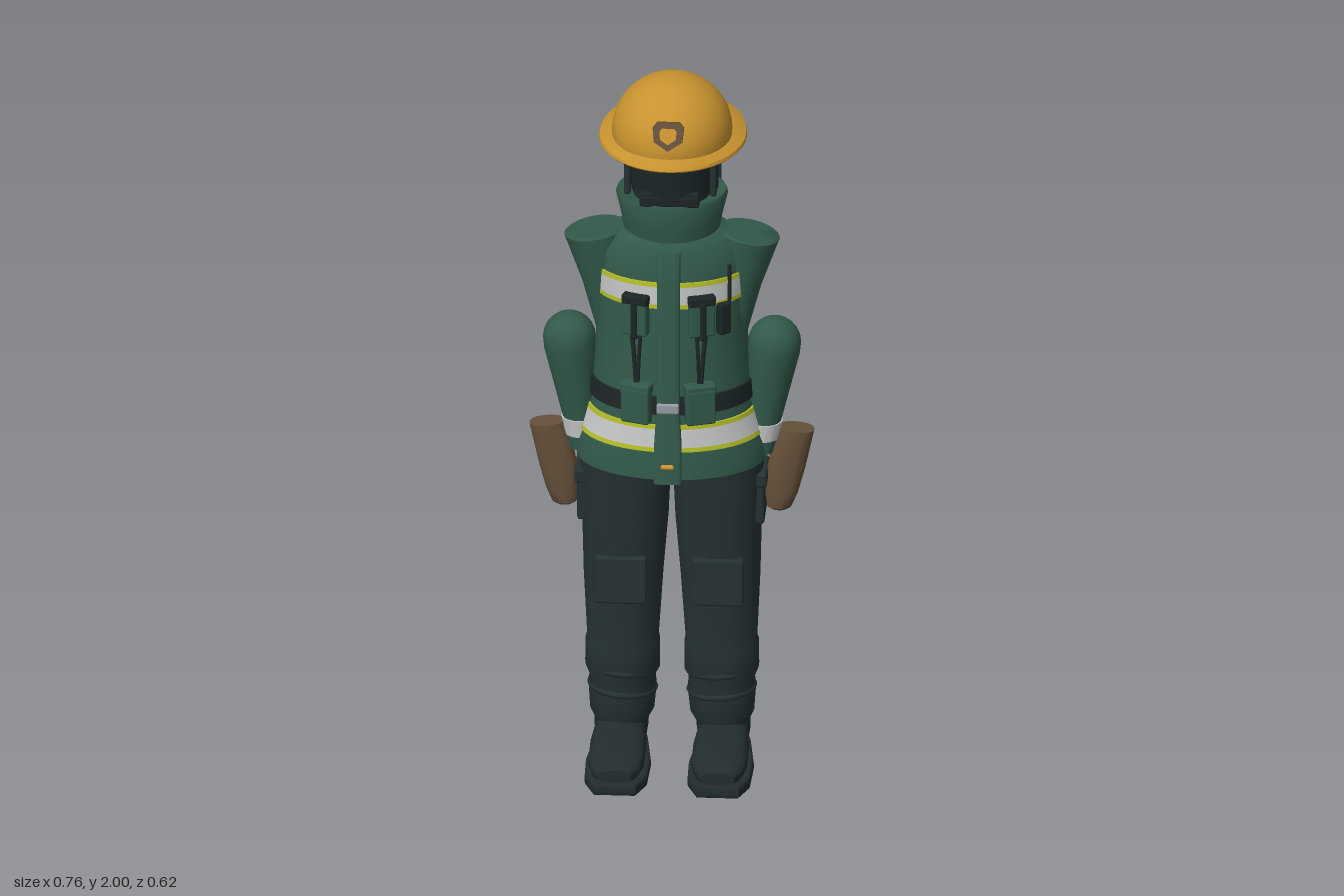
import * as THREE from 'three';
import { toCreasedNormals } from 'three/addons/utils/BufferGeometryUtils.js';
import { RoundedBoxGeometry } from 'three/addons/geometries/RoundedBoxGeometry.js';

const mat = (name, color) => {
  const m = new THREE.MeshStandardMaterial({ color });
  m.name = name;
  return m;
};

// Skin a stack of rings [y, cx, cz, rx, rz, tilt]; n is the roundness exponent (2 = ellipse).
function loft(rings, n = 2, seg = 36, crease = 0.7) {
  const pos = [], idx = [];
  const pw = (v) => Math.sign(v) * Math.abs(v) ** (2 / n);
  rings.forEach(([y, cx, cz, rx, rz, tilt = 0]) => {
    for (let i = 0; i < seg; i++) {
      const a = (i / seg) * Math.PI * 2, dx = rx * pw(Math.cos(a));
      pos.push(cx + dx, y + tilt * dx, cz + rz * pw(Math.sin(a)));
    }
  });
  for (let r = 0; r < rings.length - 1; r++)
    for (let i = 0; i < seg; i++) {
      const a = r * seg + i, b = r * seg + (i + 1) % seg;
      idx.push(a, a + seg, b, b, a + seg, b + seg);
    }
  [0, rings.length - 1].forEach((r, top) => {
    const c = pos.length / 3, o = r * seg;
    pos.push(rings[r][1], rings[r][0], rings[r][2]);
    for (let i = 0; i < seg; i++) {
      const a = o + i, b = o + (i + 1) % seg;
      if (top) idx.push(c, b, a); else idx.push(c, a, b);
    }
  });
  const g = new THREE.BufferGeometry();
  g.setAttribute('position', new THREE.Float32BufferAttribute(pos, 3));
  g.setIndex(idx);
  return toCreasedNormals(g, crease);
}

// Coat cross-sections and lookups on its surface
const COAT = [
  [0.9, 0, 0.047, 0.255, 0.18], [0.95, 0, 0.046, 0.252, 0.178], [1.0, 0, 0.044, 0.235, 0.172],
  [1.07, 0, 0.042, 0.216, 0.165], [1.18, 0, 0.038, 0.208, 0.16], [1.32, 0, 0.034, 0.2, 0.157],
  [1.45, 0, 0.032, 0.205, 0.152], [1.52, 0, 0.034, 0.2, 0.14], [1.56, 0, 0.038, 0.16, 0.125], [1.575, 0, 0.04, 0.13, 0.11],
];
function coatAt(y) {
  let i = 0;
  while (i < COAT.length - 2 && COAT[i + 1][0] < y) i++;
  const t = (y - COAT[i][0]) / (COAT[i + 1][0] - COAT[i][0]);
  return COAT[i].map((v, k) => v + (COAT[i + 1][k] - v) * t);
}
function coatBand(y0, y1, off) {
  const ys = [y0, ...COAT.map((r) => r[0]).filter((y) => y > y0 && y < y1), y1];
  return loft(ys.map(coatAt).map(([y, x, z, rx, rz]) => [y, x, z, rx + off, rz + off]), 2, 48);
}
function coatPoint(x, y, off = 0) {
  const [, , cz, rx, rz] = coatAt(y);
  const z = rz * Math.sqrt(1 - (x / rx) ** 2);
  return { p: new THREE.Vector3(x, y, cz + z + off), yaw: Math.atan2(x / rx ** 2, z / rz ** 2) };
}

export function createModel() {
  const root = new THREE.Group();
  root.name = 'firefighter';
  const M = {
    helmet: mat('helmetGold', 0xc8932f), coat: mat('coatGreen', 0x32594a), trousers: mat('trouserCharcoal', 0x253132),
    strap: mat('strapBlack', 0x1c2526), silver: mat('reflectiveSilver', 0xc4c6c6), lime: mat('reflectiveLime', 0xb4bd28),
    bottle: mat('bottleGrey', 0x969ca4), glove: mat('gloveBrown', 0x65503a), boot: mat('bootBlack', 0x222c2e),
  };
  const add = (name, geo, m) => {
    const o = new THREE.Mesh(geo, m);
    o.name = name;
    root.add(o);
    return o;
  };
  const box = (name, w, h, d, m, x, y, z, r = 0.006) => {
    const o = add(name, new RoundedBoxGeometry(w, h, d, 2, Math.min(r, d / 2.1)), m);
    o.position.set(x, y, z);
    return o;
  };
  const onCoat = (name, w, h, d, m, x, y, off = 0) => {
    const { p, yaw } = coatPoint(x, y, off);
    const o = box(name, w, h, d, m, p.x, p.y, p.z);
    o.rotation.y = yaw;
    return o;
  };
  const tube = (name, pts, r, m) =>
    add(name, new THREE.TubeGeometry(new THREE.CatmullRomCurve3(pts), 24, r, 8), m);
  const V = (x, y, z) => new THREE.Vector3(x, y, z);

  // Coat, reflective bands, belt and collar
  add('coat', loft(COAT, 2, 48), M.coat);
  for (const [name, y0, y1] of [['chest', 1.388, 1.462], ['hem', 0.98, 1.055]]) {
    add(name + 'Band', coatBand(y0 + 0.012, y1 - 0.012, 0.005), M.silver);
    add(name + 'BandLowerEdge', coatBand(y0, y0 + 0.012, 0.005), M.lime);
    add(name + 'BandUpperEdge', coatBand(y1 - 0.012, y1, 0.005), M.lime);
  }
  add('belt', coatBand(1.085, 1.135, 0.008), M.strap);
  add('collar', loft([[1.56, 0, 0.042, 0.128, 0.115], [1.6, 0, 0.042, 0.134, 0.12], [1.67, 0, 0.042, 0.15, 0.132],
    [1.68, 0, 0.042, 0.146, 0.128], [1.672, 0, 0.042, 0.128, 0.112]]), M.coat);

  // Front closure with buckle and zip tags
  add('frontFlap', loft([0.895, 1.0, 1.1, 1.2, 1.32, 1.45, 1.52, 1.55].map((y) => {
    const [, , cz, , rz] = coatAt(y);
    return [y, 0, cz + rz + 0.003, y < 1.1 ? 0.037 : 0.031, 0.016];
  }), 5, 32), M.coat);
  onCoat('buckle', 0.06, 0.03, 0.014, M.bottle, 0, 1.108, 0.017);
  onCoat('frontTag', 0.036, 0.012, 0.016, M.helmet, 0, 0.945, 0.018);
  box('backTag', 0.045, 0.018, 0.03, M.helmet, 0, 0.945, -0.142);

  // Chest and belt pouches, radio and hanging straps
  for (const s of [-1, 1]) {
    onCoat('chestPouch', 0.07, 0.1, 0.03, M.coat, s * 0.088, 1.36, 0.01);
    onCoat('chestPouchFlap', 0.074, 0.028, 0.036, M.strap, s * 0.088, 1.412, 0.01);
    onCoat('chestPouchStrap', 0.02, 0.11, 0.036, M.strap, s * 0.088, 1.355, 0.01);
    onCoat('beltPouch', 0.08, 0.1, 0.035, M.coat, s * 0.085, 1.11, 0.012);
    onCoat('beltPouchFlap', 0.084, 0.03, 0.04, M.coat, s * 0.085, 1.158, 0.012);
    tube('hangingStrap', [1.32, 1.25, 1.15].map((y, i) => coatPoint(s * (0.1 - 0.007 * i), y, 0.008).p), 0.006, M.strap);
    tube('harnessHose', [1.32, 1.25, 1.15].map((y, i) => coatPoint(s * (0.075 + 0.004 * i), y, 0.008).p), 0.005, M.strap);
  }
  onCoat('radio', 0.035, 0.09, 0.028, M.strap, 0.145, 1.35, 0.012);
  tube('radioAntenna', [coatPoint(0.16, 1.38, 0.012).p, coatPoint(0.16, 1.5, 0.012).p], 0.005, M.strap);

  for (const s of [-1, 1]) {
    // Arms and gloves
    add('upperArm', loft([[1.24, s * 0.152, 0.038, 0.045, 0.045], [1.4, s * 0.178, 0.038, 0.062, 0.062],
      [1.53, s * 0.202, 0.038, 0.08, 0.076, -0.16 * s], [1.55, s * 0.206, 0.038, 0.083, 0.078, -0.18 * s],
      [1.555, s * 0.206, 0.038, 0.078, 0.073, -0.18 * s]]), M.coat);
    const dome = [15, 30, 45, 60, 75, 88].map((d) => {
      const a = d * Math.PI / 180, c = 0.071 * Math.cos(a);
      return [1.23 + 0.071 * Math.sin(a), s * 0.275, 0.038, c, c];
    });
    add('lowerArm', loft([[0.91, s * 0.24, 0.04, 0.036, 0.036], [1.0, s * 0.25, 0.04, 0.043, 0.043],
      [1.14, s * 0.266, 0.038, 0.062, 0.062], [1.2, s * 0.273, 0.038, 0.07, 0.07],
      [1.23, s * 0.275, 0.038, 0.071, 0.071], ...dome]), M.coat);
    add('cuffBand', loft([[0.95, s * 0.2445, 0.04, 0.043, 0.043], [1.0, s * 0.25, 0.04, 0.047, 0.047]]), M.silver);
    add('glove', loft([[0.742, s * 0.288, 0.043, 0.02, 0.018], [0.75, s * 0.288, 0.043, 0.033, 0.027],
      [0.79, s * 0.294, 0.042, 0.044, 0.033], [0.86, s * 0.306, 0.04, 0.051, 0.036], [0.92, s * 0.319, 0.04, 0.051, 0.037],
      [0.98, s * 0.336, 0.04, 0.046, 0.035, -0.1 * s]], 2.3), M.glove);

    // Trouser leg with folds, knee patch and thigh pocket
    add('trouserLeg', loft([[0.11, s * 0.135, 0.03, 0.07, 0.07], [0.14, s * 0.134, 0.028, 0.086, 0.083],
      [0.2, s * 0.133, 0.028, 0.091, 0.085], [0.24, s * 0.133, 0.028, 0.089, 0.085], [0.27, s * 0.133, 0.03, 0.1, 0.091],
      [0.34, s * 0.133, 0.03, 0.1, 0.092], [0.355, s * 0.132, 0.03, 0.096, 0.09], [0.55, s * 0.13, 0.036, 0.107, 0.105],
      [0.72, s * 0.125, 0.037, 0.116, 0.114], [0.92, s * 0.124, 0.04, 0.124, 0.122]], 2.2), M.trousers);
    for (const [y, r] of [[0.27, 0.097], [0.205, 0.091]]) {
      const fold = add('trouserFold', new THREE.TorusGeometry(r - 0.006, 0.01, 8, 36).rotateX(Math.PI / 2), M.trousers);
      fold.scale.z = 0.94;
      fold.position.set(s * 0.133, y, 0.03);
      fold.rotation.z = s * 0.08;
    }
    const knee = box('kneePatch', 0.138, 0.135, 0.034, M.trousers, s * 0.13, 0.565, 0.142, 0.008);
    knee.rotation.x = -0.03;
    box('thighPocket', 0.03, 0.14, 0.12, M.trousers, s * 0.236, 0.785, 0.038, 0.008);
    box('thighPocketFlap', 0.036, 0.04, 0.13, M.trousers, s * 0.24, 0.845, 0.038, 0.008);

    // Boot: shaft, foot and bevelled sole
    add('bootShaft', loft([[0.04, s * 0.137, 0.01, 0.066, 0.066], [0.08, s * 0.137, 0.012, 0.072, 0.072],
      [0.13, s * 0.136, 0.018, 0.074, 0.075]], 2.3), M.boot);
    add('bootFoot', loft([[-0.062, s * 0.138, -0.075, 0.045, 0.035], [-0.045, s * 0.138, -0.08, 0.06, 0.05],
      [0.06, s * 0.138, -0.08, 0.068, 0.05], [0.14, s * 0.138, -0.074, 0.075, 0.045], [0.23, s * 0.138, -0.066, 0.075, 0.037],
      [0.28, s * 0.138, -0.06, 0.063, 0.03], [0.303, s * 0.138, -0.055, 0.045, 0.018]], 2.5).rotateX(Math.PI / 2), M.boot);
    const outline = [[-0.04, -0.058], [0.04, -0.058], [0.062, -0.02], [0.08, 0.13], [0.077, 0.24], [0.052, 0.302],
      [-0.052, 0.302], [-0.077, 0.24], [-0.08, 0.13], [-0.062, -0.02]].map(([x, z]) => new THREE.Vector2(x, z));
    const sole = new THREE.ExtrudeGeometry(new THREE.Shape(outline),
      { depth: 0.014, bevelSize: 0.007, bevelThickness: 0.01, bevelSegments: 2 }).rotateX(Math.PI / 2);
    add('bootSole', sole, M.boot).position.set(s * 0.138, 0.024, 0);
  }

  // Head, face mask and neck guard
  add('head', loft([[1.62, 0, 0.04, 0.1, 0.1], [1.7, 0, 0.04, 0.108, 0.118], [1.83, 0, 0.04, 0.115, 0.122]]), M.trousers);
  const open = M.trousers.clone();
  open.name = 'neckGuardCharcoal';
  open.side = THREE.DoubleSide;
  const guard = add('neckGuard', new THREE.CylinderGeometry(0.13, 0.13, 0.17, 32, 1, true, Math.PI * 0.5, Math.PI), open);
  guard.position.set(0, 1.745, 0.005);
  guard.scale.z = 0.82;
  const visor = add('visor', new THREE.CylinderGeometry(0.122, 0.116, 0.12, 32, 1, false, -1.1, 2.2), M.strap);
  visor.position.set(0, 1.76, 0.05);
  box('maskChin', 0.16, 0.03, 0.04, M.strap, 0, 1.69, 0.145);
  for (const s of [-1, 1]) {
    box('maskFilter', 0.04, 0.03, 0.03, M.strap, s * 0.06, 1.7, 0.145);
    box('visorFrame', 0.018, 0.13, 0.04, M.trousers, s * 0.115, 1.755, 0.1);
    box('helmetStrap', 0.012, 0.15, 0.03, M.strap, s * 0.117, 1.745, 0.015);
  }

  // Helmet: dome, long-backed brim and front badge
  const shell = add('helmetDome', new THREE.SphereGeometry(1, 48, 20, 0, Math.PI * 2, 0, Math.PI * 0.55), M.helmet);
  shell.scale.set(0.161, 0.152, 0.18);
  shell.position.set(0, 1.848, 0.03);
  const brim = loft([[1.812, 0, 0, 0.15, 0.18], [1.808, 0, 0, 0.192, 0.229], [1.814, 0, 0, 0.198, 0.236],
    [1.822, 0, 0, 0.196, 0.233], [1.842, 0, 0, 0.155, 0.205], [1.845, 0, 0, 0.12, 0.16]], 2, 56);
  const bp = brim.attributes.position;
  for (let i = 0; i < bp.count; i++) {
    const z = bp.getZ(i);
    if (z < 0) bp.setXYZ(i, bp.getX(i), bp.getY(i) - 0.35 * z * z, z * 1.3);
  }
  add('helmetBrim', toCreasedNormals(brim, 0.7), M.helmet);
  const shield = (k, d) => new THREE.ExtrudeGeometry(new THREE.Shape(
    [[-0.03, 0.04], [0.03, 0.04], [0.042, 0.025], [0.038, -0.015], [0, -0.04], [-0.038, -0.015], [-0.042, 0.025]]
      .map(([x, y]) => new THREE.Vector2(x * k, y * k))), { depth: d, bevelEnabled: false });
  const badge = new THREE.Group();
  badge.name = 'helmetBadge';
  const plate = new THREE.Mesh(shield(1, 0.022), M.glove), inset = new THREE.Mesh(shield(0.55, 0.006), M.helmet);
  plate.name = 'badgePlate';
  inset.name = 'badgeInset';
  inset.position.z = 0.02;
  badge.add(plate, inset);
  badge.position.set(0, 1.9, 0.195);
  badge.rotation.x = -0.4;
  root.add(badge);

  // Air bottle on its back plate
  const bottle = [[0, 1.045], [0.025, 1.047], [0.055, 1.075], [0.08, 1.12], [0.089, 1.17], [0.091, 1.24], [0.091, 1.42],
    [0.08, 1.47], [0.055, 1.505], [0.025, 1.52], [0, 1.522]].map(([x, y]) => new THREE.Vector2(x, y));
  add('airBottle', new THREE.LatheGeometry(bottle, 36), M.bottle).position.z = -0.208;
  add('bottleStrap', new THREE.CylinderGeometry(0.098, 0.098, 0.055, 36), M.strap).position.set(0, 1.23, -0.208);
  add('bottleValve', new THREE.CylinderGeometry(0.02, 0.026, 0.05, 20), M.helmet).position.set(0, 1.535, -0.215);
  add('valveWheel', new THREE.CylinderGeometry(0.044, 0.03, 0.02, 20), M.helmet).position.set(0, 1.556, -0.215);
  box('backPlate', 0.15, 0.37, 0.055, M.strap, 0, 1.255, -0.142, 0.015);
  tube('airHose', [V(0.08, 1.5, -0.06), V(0.07, 1.55, -0.08), V(0.04, 1.57, -0.14), V(0.01, 1.56, -0.185), V(0, 1.535, -0.2)], 0.011, M.coat);
  return root;
}
